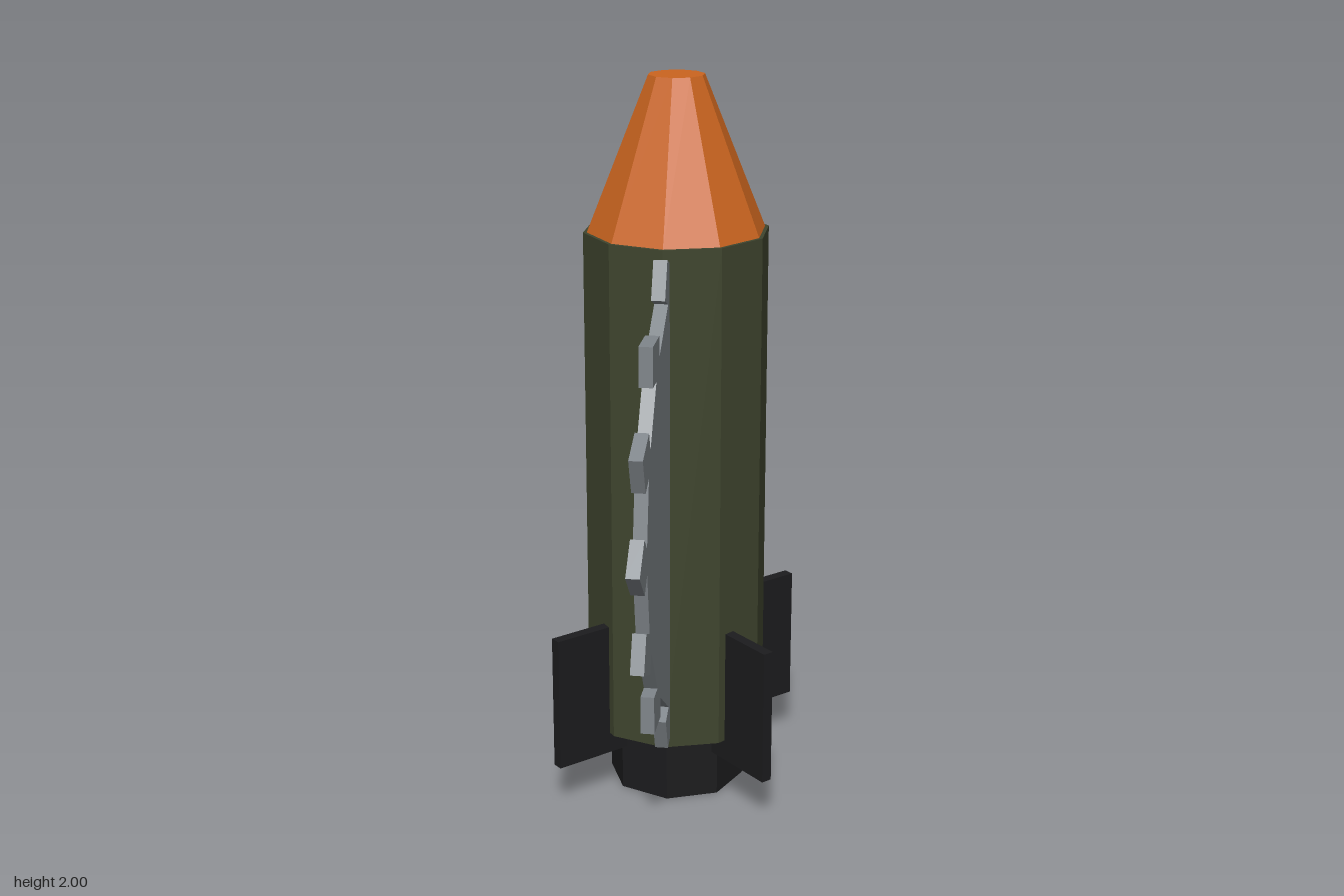
import * as THREE from 'three';

const paint = (color) => new THREE.MeshStandardMaterial({ color, flatShading: true });

// Sawblade outline: a 16-sided disc with a diamond tooth on every corner
function sawShape(teeth) {
  // one tooth as [distance from centre, sideways offset]
  const tooth = [[0.6265, -0.0345], [0.666, -0.074], [0.74, 0], [0.666, 0.074], [0.6265, 0.0345]];
  const points = [];
  for (let i = 0; i < teeth; i++) {
    const a = (i / teeth) * Math.PI * 2;
    for (const [r, t] of tooth) {
      points.push(new THREE.Vector2(
        r * Math.cos(a) - t * Math.sin(a),
        r * Math.sin(a) + t * Math.cos(a)));
    }
  }
  return new THREE.Shape(points);
}

export function createModel() {
  const group = new THREE.Group();
  const green = paint(0x3f452e);
  const orange = paint(0xcb651f);
  const black = paint(0x1c1c1e);
  const steel = paint(0x80868b);

  const add = (name, geometry, material, y) => {
    const mesh = new THREE.Mesh(geometry, material);
    mesh.name = name;
    mesh.position.y = y;
    group.add(mesh);
    return mesh;
  };

  // Ten-sided body and blunt nose cone
  add('body', new THREE.CylinderGeometry(0.25, 0.25, 1.4, 10), green, 0.89);
  add('noseCone', new THREE.CylinderGeometry(0.075, 0.24, 0.41, 10), orange, 1.795);

  // Eight-sided nozzle under the body
  add('nozzle', new THREE.CylinderGeometry(0.19, 0.19, 0.2, 8), black, 0.1);

  // Four diagonal tail fins
  for (let i = 0; i < 4; i++) {
    const geometry = new THREE.BoxGeometry(0.26, 0.38, 0.03);
    geometry.translate(0.28, 0, 0);
    const fin = add('tailFin', geometry, black, 0.32);
    fin.rotation.y = Math.PI / 4 + (i * Math.PI) / 2;
  }

  // Upright sawblade running front to back through the body
  const thickness = 0.036;
  const blade = new THREE.ExtrudeGeometry(sawShape(16), { depth: thickness, bevelEnabled: false });
  blade.translate(0, 0, -thickness / 2).rotateY(Math.PI / 2);
  add('sawBlade', blade, steel, 0.89);

  return group;
}
